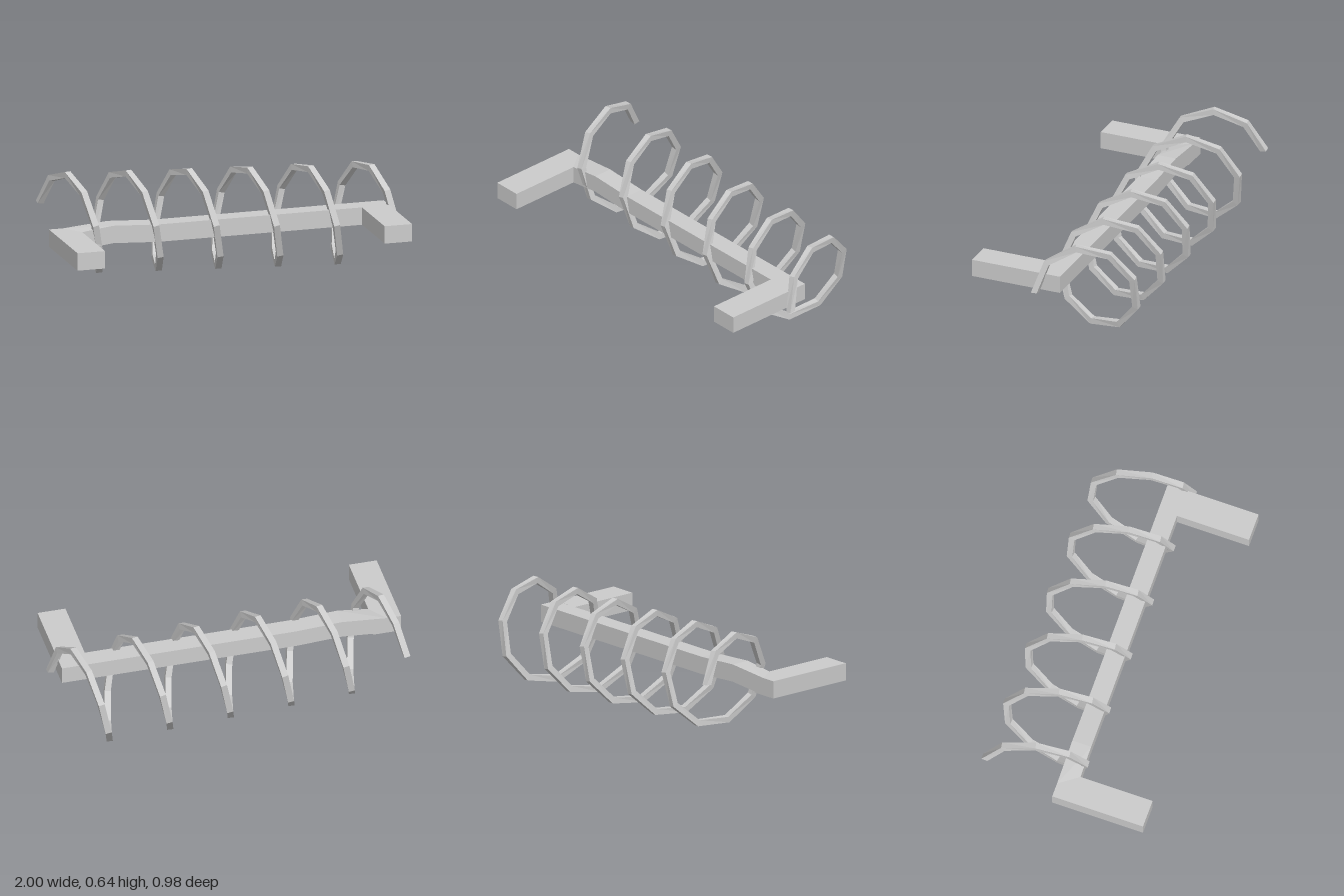
import * as THREE from 'three';

const material = new THREE.MeshStandardMaterial({ color: 0xcccccc, flatShading: true });

// Skin a row of four-cornered sections, with a cap on both ends.
function loft(name, rings) {
  const pos = [];
  const quad = (a, b, c, d) => [a, b, c, a, c, d].forEach((p) => pos.push(p.x, p.y, p.z));
  for (let i = 0; i < rings.length - 1; i++) {
    for (let j = 0; j < 4; j++) {
      const k = (j + 1) % 4;
      quad(rings[i][j], rings[i][k], rings[i + 1][k], rings[i + 1][j]);
    }
  }
  const end = rings[rings.length - 1];
  quad(...[...rings[0]].reverse());
  quad(...end);
  const geometry = new THREE.BufferGeometry();
  geometry.setAttribute('position', new THREE.Float32BufferAttribute(pos, 3));
  geometry.computeVertexNormals();
  const mesh = new THREE.Mesh(geometry, material);
  mesh.name = name;
  return mesh;
}

function arm(name, x0, x1, y0, z0, z1) {
  const mesh = new THREE.Mesh(new THREE.BoxGeometry(x1 - x0, 0.1, z1 - z0), material);
  mesh.position.set((x0 + x1) / 2, y0 + 0.05, (z0 + z1) / 2);
  mesh.name = name;
  return mesh;
}

// Long bar with a slight hump near its right end.
function buildBar() {
  const stations = [ // back x, front x, bottom y, back z, front z
    [-0.92, -0.84, 0.275, -0.045, 0.065],
    [-0.66, -0.66, 0.297, -0.047, 0.064],
    [-0.4, -0.4, 0.283, -0.048, 0.062],
    [0.95, 0.95, 0.285, -0.055, 0.055],
  ];
  return loft('bar', stations.map(([xb, xf, y, zb, zf]) => [
    new THREE.Vector3(xb, y, zb),
    new THREE.Vector3(xb, y + 0.1, zb),
    new THREE.Vector3(xf, y + 0.1, zf),
    new THREE.Vector3(xf, y, zf),
  ]));
}

// Square-section coil around a gently sloping axis.
function buildCoil() {
  const segments = 49, step = THREE.MathUtils.degToRad(40.25);
  const startAngle = THREE.MathUtils.degToRad(170);
  const radius = 0.272, half = 0.0175, x0 = -0.922, x1 = 0.983;
  const rise = (x1 - x0) / (segments * step);
  const rings = [];
  for (let i = 0; i <= segments; i++) {
    const a = startAngle - i * step;
    const x = x0 + rise * i * step;
    const radial = new THREE.Vector3(0, Math.sin(a), Math.cos(a));
    const tangent = new THREE.Vector3(rise, -radius * Math.cos(a), radius * Math.sin(a)).normalize();
    const side = new THREE.Vector3().crossVectors(radial, tangent);
    const centre = new THREE.Vector3(x, 0.33 - 0.044 * x, -0.195 + 0.005 * x).addScaledVector(radial, radius);
    rings.push([[-1, -1], [1, -1], [1, 1], [-1, 1]].map(([s, r]) =>
      centre.clone().addScaledVector(side, s * half).addScaledVector(radial, r * half)));
  }
  return loft('coil', rings);
}

export function createModel() {
  const group = new THREE.Group();
  group.name = 'coilHolder';
  group.add(
    buildBar(),
    arm('rightArm', -1, -0.84, 0.275, -0.045, 0.49),
    arm('leftArm', 0.79, 0.95, 0.285, 0.055, 0.48),
    buildCoil(),
  );
  return group;
}
